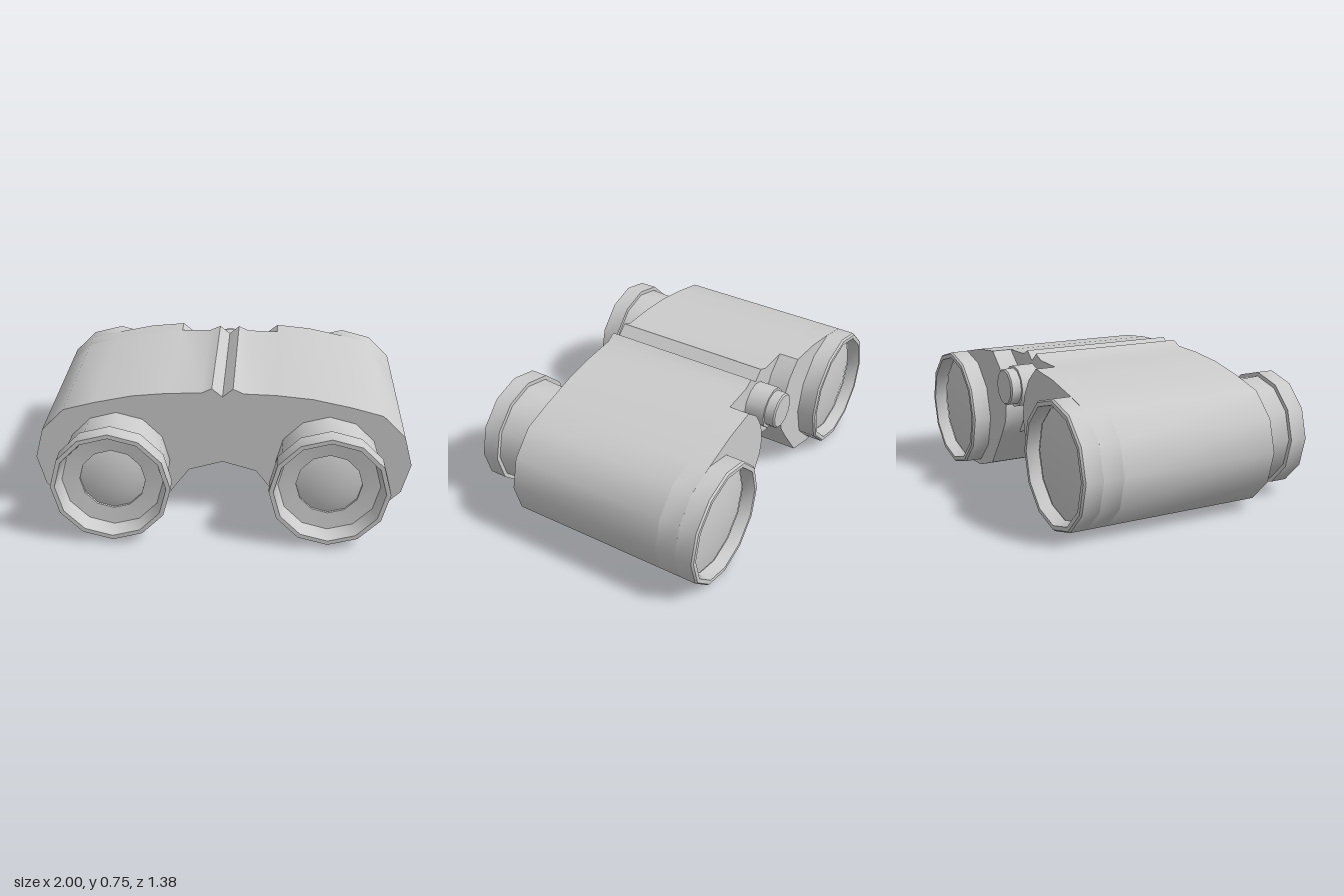
import * as THREE from 'three';
import { toCreasedNormals } from 'three/addons/utils/BufferGeometryUtils.js';

const material = new THREE.MeshStandardMaterial({ color: 0xcccccc });
const CREASE = 0.6;
const AXIS_Y = 0.332;

function part(name, geometry) {
  const mesh = new THREE.Mesh(toCreasedNormals(geometry, CREASE), material);
  mesh.name = name;
  return mesh;
}

// Extrude an x/y outline between two z planes.
function slab(name, points, zBack, zFront) {
  const shape = new THREE.Shape(points.map(([x, y]) => new THREE.Vector2(x, y)));
  const geometry = new THREE.ExtrudeGeometry(shape, { depth: zFront - zBack, bevelEnabled: false });
  return part(name, geometry.translate(0, 0, zBack));
}

// Turn a [radius, distance] profile around the z axis, facing front (+1) or back (-1).
function turned(name, profile, facing, x, y) {
  const geometry = new THREE.LatheGeometry(profile.map(([r, d]) => new THREE.Vector2(r, d)), 12);
  return part(name, geometry.rotateX(facing * Math.PI / 2).translate(x, y, 0));
}

const mirror = (points) => points.map(([x, y]) => [-x, y]).reverse();

export function createModel() {
  const model = new THREE.Group();

  // Outer half outline shared by the body and its rear extensions, top to bottom
  const side = [
    [0.28, 0.725], [0.47, 0.706], [0.67, 0.663], [0.835, 0.618], [0.956, 0.497], [1, AXIS_Y],
    [0.956, 0.167], [0.835, 0.046], [0.67, 0.002], [0.51, 0.012], [0.33, 0.072], [0.18, 0.275],
  ];

  // Body with the two raised ridges of the central hinge groove
  const half = [[0.055, 0.756], [0.11, 0.73], ...side];
  model.add(slab('body', [[0, 0.71], ...half, [0, 0.328], ...mirror(half)], -0.48, 0.38));

  // Rear extensions, curved away around the focus knob
  const flap = [...side, [0.125, 0.36], [0.11, 0.45], [0.13, 0.55], [0.19, 0.65]];

  const barrel = [
    [0.33, 0.588], [0.33, 0.68], [0.322, 0.69], [0.3, 0.69], [0.285, 0.625],
  ];
  const objectiveLens = [[0.287, 0.622], [0.2, 0.638], [0.1, 0.648], [0, 0.651]];
  const eyepiece = [
    [0.275, 0.37], [0.286, 0.597], [0.308, 0.597], [0.308, 0.69], [0.285, 0.69],
    [0.262, 0.61], [0.17, 0.6], [0.17, 0.585],
  ];
  const eyeLens = [[0.17, 0.588], [0.12, 0.602], [0.06, 0.61], [0, 0.613]];

  for (const [label, s] of [['left', 1], ['right', -1]]) {
    model.add(slab(label + 'RearExtension', s > 0 ? flap : mirror(flap), -0.588, -0.48));
    model.add(turned(label + 'ObjectiveBarrel', barrel, -1, s * 0.67, AXIS_Y));
    model.add(turned(label + 'ObjectiveLens', objectiveLens, -1, s * 0.67, AXIS_Y));
    model.add(turned(label + 'Eyepiece', eyepiece, 1, s * 0.557, AXIS_Y));
    model.add(turned(label + 'EyeLens', eyeLens, 1, s * 0.557, AXIS_Y));
  }

  // Focus knob: wide collar and narrower cap
  const knob = [
    [0.112, 0.47], [0.112, 0.588], [0.098, 0.588], [0.098, 0.638], [0.09, 0.645], [0, 0.648],
  ];
  model.add(turned('focusKnob', knob, -1, 0, 0.582));

  return model;
}
